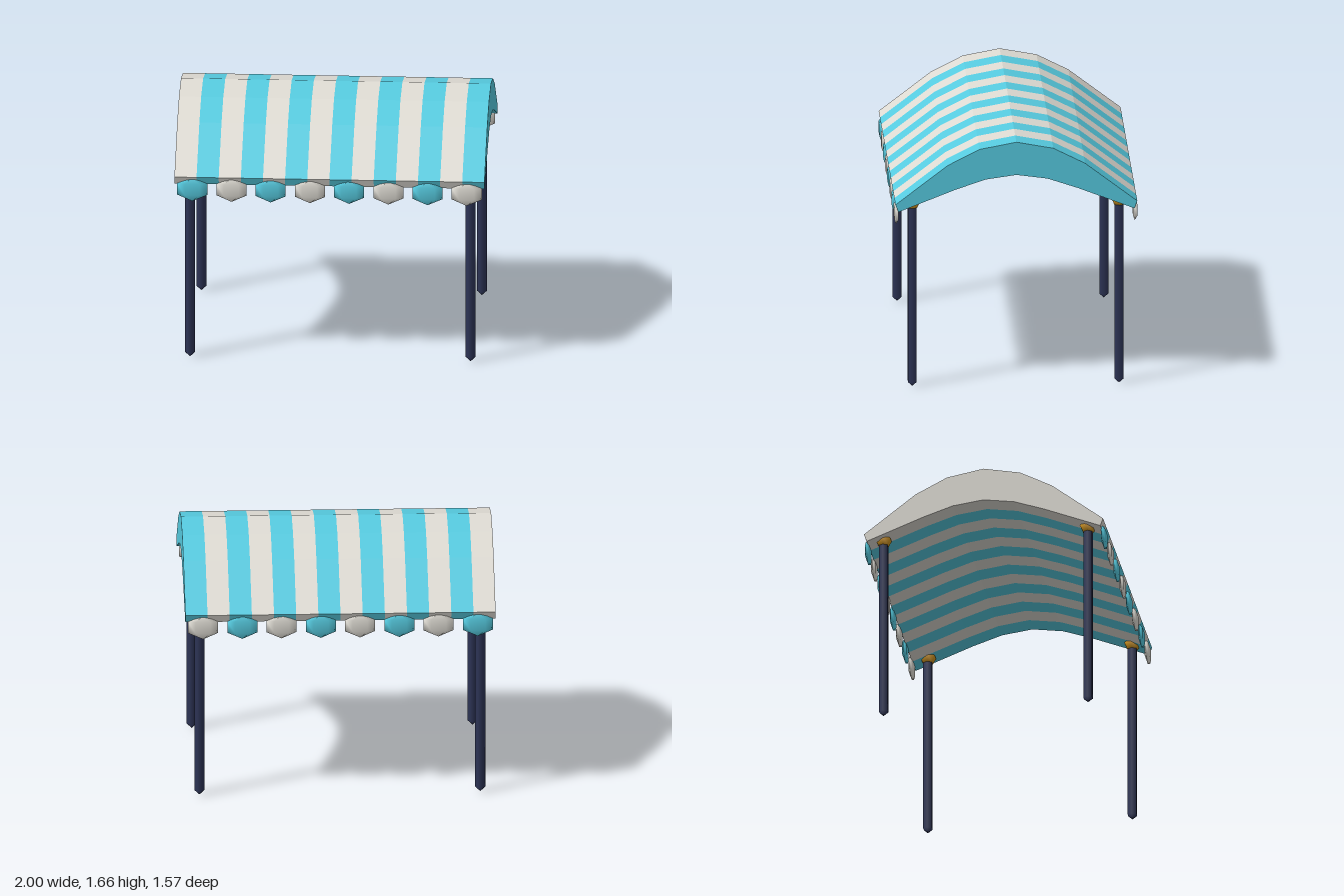
import * as THREE from 'three';

const cyan = new THREE.MeshStandardMaterial({ color: 0x56cbe0 });
cyan.name = 'cyan cloth';
const cream = new THREE.MeshStandardMaterial({ color: 0xdedbd3 });
cream.name = 'cream cloth';
const navy = new THREE.MeshStandardMaterial({ color: 0x2d3456 });
navy.name = 'navy post';
const gold = new THREE.MeshStandardMaterial({ color: 0xcf9420 });
gold.name = 'gold bracket';

// Six-sided turned solid, with corners on the x axis
function turned(profile) {
  const points = profile.map(([r, y]) => new THREE.Vector2(r, y));
  return new THREE.LatheGeometry(points, 6, Math.PI / 2);
}

export function createModel() {
  const model = new THREE.Group();
  model.name = 'stripedCanopy';

  const add = (name, geometry, material, x = 0, y = 0, z = 0) => {
    const mesh = new THREE.Mesh(geometry, material);
    mesh.name = name;
    mesh.position.set(x, y, z);
    model.add(mesh);
  };

  // Arched roof section (z, y), thick at the crown and thin at the eaves
  const outer = [[0.78, 1.255], [0.443, 1.515], [0.238, 1.62], [0, 1.665]];
  const inner = [[0.762, 1.205], [0.394, 1.35], [0.2, 1.416], [0, 1.444]];
  const mirrored = (side) => [
    ...side,
    ...side.slice(0, -1).reverse().map(([z, y]) => [-z, y]),
  ];
  const outline = [...mirrored(outer), ...mirrored(inner).reverse()];
  const section = new THREE.Shape(outline.map(([z, y]) => new THREE.Vector2(z, y)));

  // Roof stripes, side by side along x
  const stripes = 14;
  const width = 2 / stripes;
  const stripeGeometry = new THREE.ExtrudeGeometry(section, { depth: width, bevelEnabled: false });
  stripeGeometry.rotateY(Math.PI / 2);
  for (let i = 0; i < stripes; i++) {
    add('roofStripe', stripeGeometry, i % 2 ? cyan : cream, -1 + i * width);
  }

  // Flattened valance tabs hanging from both eaves
  const tabGeometry = turned([[0, 1.09], [0.097, 1.133], [0.097, 1.21], [0, 1.25]]);
  tabGeometry.scale(1, 1, 0.16);
  for (const side of [-1, 1]) {
    for (let i = 0; i < 8; i++) {
      add('valanceTab', tabGeometry, i % 2 ? cream : cyan, (i - 3.5) * 0.253, 0, side * 0.77);
    }
  }

  // Posts with pointed feet, and flared brackets under the roof
  const postGeometry = turned([[0, 0], [0.0325, 0.03], [0.0325, 1.22], [0, 1.25]]);
  const bracketGeometry = turned([[0, 1.205], [0.036, 1.208], [0.056, 1.25], [0.03, 1.275], [0, 1.28]]);
  for (const x of [-0.905, 0.905]) {
    for (const z of [-0.667, 0.667]) {
      add('post', postGeometry, navy, x, 0, z);
      add('postBracket', bracketGeometry, gold, x, 0, z);
    }
  }

  return model;
}
